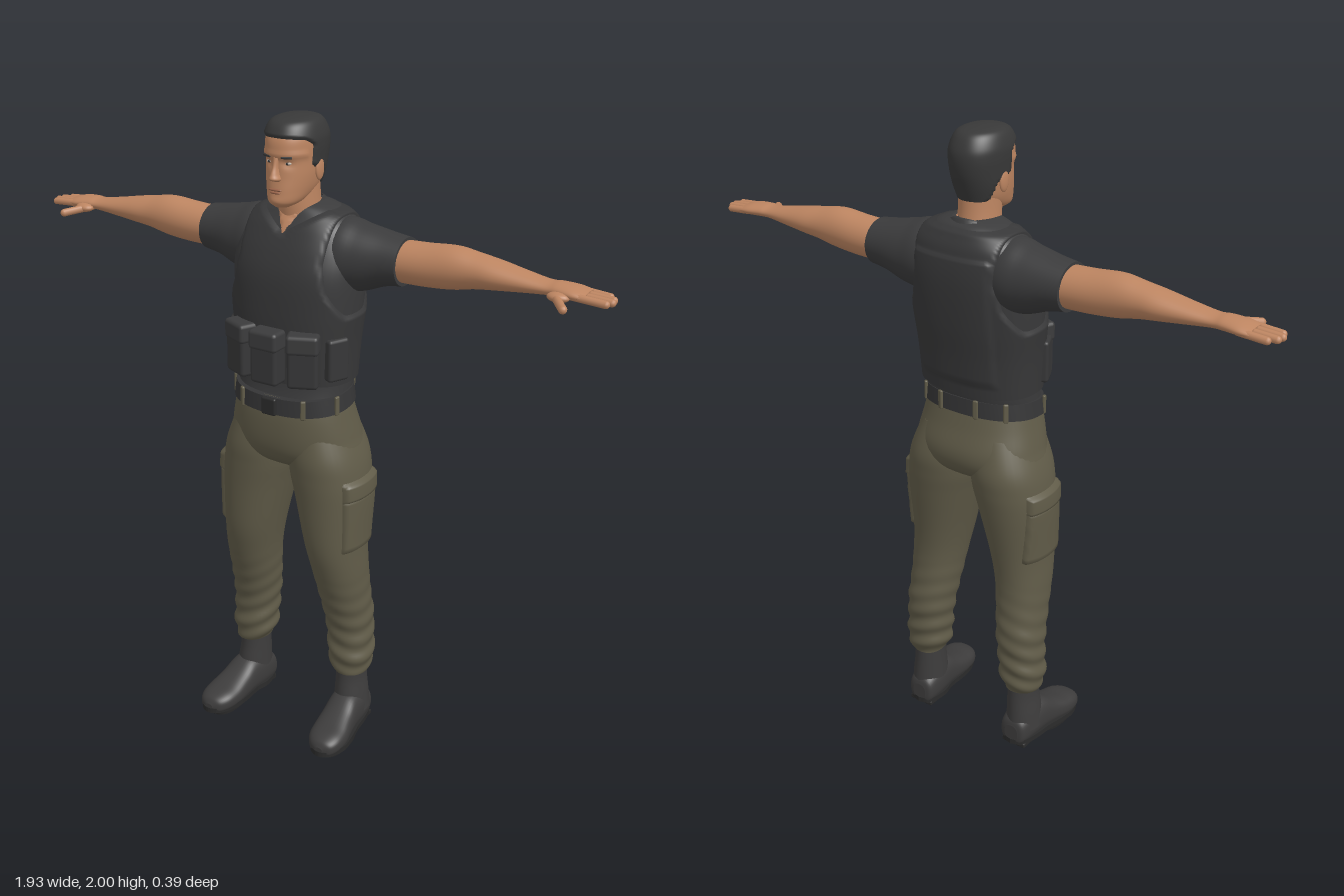
import * as THREE from 'three';
import { mergeVertices } from 'three/addons/utils/BufferGeometryUtils.js';
import { RoundedBoxGeometry } from 'three/addons/geometries/RoundedBoxGeometry.js';

const clamp = THREE.MathUtils.clamp;

// piecewise linear lookup through [key, value] pairs with rising keys
function lin(pts, v) {
  if (v <= pts[0][0]) return pts[0][1];
  for (let i = 1; i < pts.length; i++) {
    const [a, p] = pts[i - 1], [b, q] = pts[i];
    if (v <= b) return p + (q - p) * (v - a) / (b - a);
  }
  return pts[pts.length - 1][1];
}

// smooth skin through cross-sections [t, centreA, centreB, radiusA, radiusB] set along one axis;
// off(x, y, z) swells or shrinks the surface locally
function loft(axis, secs, { n = 2, seg = 40, sub = 6, off = null } = {}) {
  const rows = [];
  for (let i = 0; i < secs.length - 1; i++) {
    const [p0, p1, p2, p3] = [-1, 0, 1, 2].map(k => secs[clamp(i + k, 0, secs.length - 1)]);
    for (let s = 0; s < sub + (i === secs.length - 2 ? 1 : 0); s++) {
      const u = s / sub;
      rows.push(p1.map((v, k) => {
        const c1 = p2[k] - p0[k];
        const c2 = 2 * p0[k] - 5 * v + 4 * p2[k] - p3[k];
        const c3 = 3 * (v - p2[k]) + p3[k] - p0[k];
        return v + 0.5 * u * (c1 + u * (c2 + u * c3));
      }));
    }
  }
  const put = (t, a, b) => axis === 'x' ? [t, a, b] : axis === 'y' ? [a, t, b] : [a, b, t];
  const pos = [], idx = [];
  const flip = (axis === 'y') !== (secs[secs.length - 1][0] < secs[0][0]);
  const tri = (a, b, c) => flip ? idx.push(a, c, b) : idx.push(a, b, c);
  const pw = v => Math.sign(v) * Math.abs(v) ** (2 / n);
  const ring = ([t, ca, cb, ra, rb]) => {
    for (let j = 0; j < seg; j++) {
      const th = j / seg * Math.PI * 2, c = pw(Math.cos(th)), s = pw(Math.sin(th));
      const o = off ? off(...put(t, ca + ra * c, cb + rb * s)) : 0;
      pos.push(...put(t, ca + (ra + o) * c, cb + (rb + o) * s));
    }
  };
  rows.forEach(ring);
  for (let i = 0; i < rows.length - 1; i++) for (let j = 0; j < seg; j++) {
    const a = i * seg + j, b = i * seg + (j + 1) % seg;
    tri(a, b, b + seg); tri(a, b + seg, a + seg);
  }
  // flat end caps
  [rows[0], rows[rows.length - 1]].forEach((r, e) => {
    const base = pos.length / 3;
    ring(r);
    pos.push(...put(r[0], r[1], r[2]));
    for (let j = 0; j < seg; j++) {
      const a = base + j, b = base + (j + 1) % seg;
      e ? tri(a, b, base + seg) : tri(b, a, base + seg);
    }
  });
  const g = new THREE.BufferGeometry();
  g.setAttribute('position', new THREE.Float32BufferAttribute(pos, 3));
  g.setIndex(idx);
  g.computeVertexNormals();
  return g;
}

const box = (w, h, d, x, y, z, ry = 0, r = 0.006) =>
  new RoundedBoxGeometry(w, h, d, 2, Math.min(r, d / 2.1, w / 2.1, h / 2.1)).rotateY(ry).translate(x, y, z);
const blob = (x, y, z, rx, ry, rz) => new THREE.SphereGeometry(1, 20, 14).scale(rx, ry, rz).translate(x, y, z);

function mirrored(g) {
  const m = (g.index ? g.clone() : mergeVertices(g)).scale(-1, 1, 1), ix = m.index.array;
  for (let i = 0; i < ix.length; i += 3) [ix[i], ix[i + 1]] = [ix[i + 1], ix[i]];
  return m;
}

export function createModel() {
  const root = new THREE.Group();
  root.name = 'uniformedMan';
  const mat = (name, color, side = THREE.FrontSide) => Object.assign(new THREE.MeshStandardMaterial({ color, side }), { name });
  const skin = mat('skin', 0xbd8561), lip = mat('lipSkin', 0x98634a), hair = mat('hair', 0x383838);
  const shirt = mat('shirtCloth', 0x3b3b3c, THREE.DoubleSide), vestM = mat('vestCloth', 0x373738), trousers = mat('trouserCloth', 0x605b48);
  const beltM = mat('beltWebbing', 0x353536), boot = mat('bootLeather', 0x3d3c3c), sole = mat('soleRubber', 0x2b2b2b), eye = mat('eyeWhite', 0xb9aca0);
  const add = (name, g, m) => {
    const mesh = new THREE.Mesh(g, m);
    mesh.name = name;
    root.add(mesh);
  };
  const both = (name, g, m) => { add('left' + name, g, m); add('right' + name, mirrored(g), m); };

  // head and neck
  const HEAD = [[1.752, 0, .05, .022, .03], [1.768, 0, .035, .046, .06], [1.80, 0, .003, .061, .093], [1.84, 0, -.007, .069, .098],
    [1.88, 0, -.014, .072, .103], [1.92, 0, -.015, .075, .107], [1.95, 0, -.016, .073, .101], [1.975, 0, -.016, .06, .082],
    [1.988, 0, -.017, .04, .055], [1.993, 0, -.018, .004, .005]];
  const bump = (v, centre, width) => Math.exp(-(((v - centre) / width) ** 2));
  const faceShape = (x, y, z) => z < .03 ? 0 : .004 * bump(y, 1.902, .009)
    - .006 * bump(Math.abs(x), .03, .014) * bump(y, 1.878, .011) + .004 * bump(x, 0, .02) * bump(y, 1.772, .012);
  add('head', loft('y', HEAD, { n: 2.2, seg: 56, off: faceShape }), skin);
  add('neck', loft('y', [[1.65, 0, -.045, .07, .07], [1.72, 0, -.035, .062, .07], [1.77, 0, -.03, .059, .069], [1.83, 0, -.03, .058, .066]]), skin);
  add('nose', loft('y', [[1.828, 0, .088, .011, .006], [1.836, 0, .092, .017, .023], [1.85, 0, .09, .012, .022],
    [1.87, 0, .088, .008, .015], [1.895, 0, .088, .008, .008]], { seg: 20 }), skin);
  add('upperLip', blob(0, 1.805, .094, .022, .004, .006), lip);
  add('lowerLip', blob(0, 1.797, .094, .018, .004, .006), lip);
  both('Ear', blob(.075, 1.853, -.02, .008, .033, .02), skin);
  both('Eye', blob(.03, 1.879, .0735, .011, .0045, .006), eye);
  both('Iris', blob(.03, 1.879, .0768, .0045, .0045, .004), hair);
  both('Eyebrow', box(.032, .007, .008, .032, 1.897, .085, .35, .003), hair);

  // hair is a shell that dives under the skin beyond the hairline
  const hairline = [[-.08, 1.785], [-.055, 1.80], [-.042, 1.85], [-.005, 1.858], [.008, 1.865], [.016, 1.93], [.04, 1.942], [.1, 1.95]];
  add('hair', loft('y', HEAD.slice(2).map(s => s[0] > 1.96 ? [s[0] + .007, ...s.slice(1)] : s),
    { n: 2.2, seg: 72, sub: 10, off: (x, y, z) => clamp((y - lin(hairline, z)) * .8, -.006, .008) }), hair);

  // shirt, with sleeves and the open throat
  const TORSO = [[1.17, 0, -.005, .178, .12], [1.235, 0, -.02, .182, .124], [1.35, 0, -.024, .188, .132], [1.45, 0, -.03, .198, .139],
    [1.55, 0, -.037, .205, .14], [1.62, 0, -.047, .20, .13], [1.68, 0, -.057, .18, .111], [1.715, 0, -.06, .145, .092],
    [1.738, 0, -.06, .1, .078], [1.75, 0, -.055, .06, .06]];
  add('shirtBody', loft('y', TORSO, { n: 2.4, seg: 56 }), shirt);
  add('throat', loft('y', TORSO.slice(5), { n: 2.4, seg: 96, sub: 8,
    off: (x, y, z) => z < 0 ? -.01 : clamp(((y - 1.665) * .55 - Math.abs(x)) * .8, -.01, .005) }), skin);
  both('Sleeve', loft('x', [[.05, 1.6, -.06, .08, .08], [.14, 1.607, -.06, .108, .102], [.21, 1.605, -.063, .098, .095],
    [.28, 1.611, -.067, .079, .083], [.337, 1.612, -.068, .07, .076]]), shirt);

  // folded collar, open at the front
  const cols = 40, cp = [], ci = [];
  for (let i = 0; i <= cols; i++) {
    const t = .22 + (Math.PI * 2 - .44) * i / cols, f = (1 + Math.cos(t)) / 2, tip = f ** 10;
    [[.066, 1.757 - .06 * f, .078], [.078, 1.754 - .062 * f, .088], [.105 - .05 * tip, 1.705 - .025 * f - .02 * tip, .104 + .004 * tip]].forEach(([rx, y, rz]) =>
      cp.push(Math.sin(t) * rx + (Math.sin(t) > 0 ? 1 : -1) * .028 * tip, y, -.037 + Math.cos(t) * rz));
    if (i < cols) for (let k = 0; k < 2; k++) {
      const a = i * 3 + k;
      ci.push(a, a + 1, a + 4, a, a + 4, a + 3);
    }
  }
  const collar = new THREE.BufferGeometry();
  collar.setAttribute('position', new THREE.Float32BufferAttribute(cp, 3));
  collar.setIndex(ci);
  collar.computeVertexNormals();
  add('collar', collar, shirt);

  // vest shell with armholes, neck opening and a raised back panel
  const armhole = [[1.40, .30], [1.45, .19], [1.52, .155], [1.6, .14], [1.73, .142]];
  const vestOff = (x, y, z) => {
    const ax = Math.abs(x), neck = (z > -.03 ? 1.675 + ax * .6 : 1.735) - y;
    const panel = z < -.1 ? clamp(Math.min(.125 - ax, y - 1.28, 1.665 - y), 0, .006) : 0;
    return clamp(Math.min(lin(armhole, y) - ax, neck), -.012, .01) + panel;
  };
  add('vest', loft('y', TORSO.slice(1, 9), { n: 2.4, seg: 96, sub: 10, off: vestOff }), vestM);

  // vest pouches with flaps
  [[0, .138, 0], [.108, .113, .42], [-.108, .113, -.42]].forEach(([x, z, a]) => {
    add('pouch', box(.092, .158, .06, x, 1.32, z, a, .012), vestM);
    add('pouchFlap', box(.097, .06, .066, x, 1.376, z + .002, a, .012), shirt);
  });
  both('SidePouch', box(.07, .13, .035, .178, 1.32, .045, 1.15, .01), vestM);

  // bare arms, hands and fingers
  both('Arm', loft('x', [[.3, 1.612, -.068, .06, .067], [.4, 1.615, -.067, .062, .065], [.49, 1.622, -.066, .062, .061],
    [.56, 1.624, -.067, .05, .057], [.62, 1.623, -.067, .041, .056], [.7, 1.62, -.065, .029, .046], [.77, 1.618, -.063, .02, .037],
    [.805, 1.619, -.063, .02, .041], [.85, 1.617, -.064, .018, .047], [.885, 1.614, -.065, .012, .043]], { seg: 32 }), skin);
  const finger = (ax, ay, az, bx, by, bz, r) => {
    const a = new THREE.Vector3(ax, ay, az), d = new THREE.Vector3(bx, by, bz).sub(a);
    const q = new THREE.Quaternion().setFromUnitVectors(new THREE.Vector3(0, 1, 0), d.clone().normalize());
    const m = a.addScaledVector(d, .5);
    return new THREE.CapsuleGeometry(r, d.length(), 5, 12).applyQuaternion(q).translate(m.x, m.y, m.z);
  };
  [.943, .952, .948, .93].forEach((x, i) => both('Finger', finger(.85, 1.615, -.03 - i * .0225, x, 1.609, -.032 - i * .0215, .011), skin));
  both('Thumb', finger(.795, 1.612, -.035, .853, 1.598, .035, .012), skin);
  both('ThumbBase', blob(.815, 1.609, -.022, .032, .014, .022), skin);

  // trousers: hips, then legs with wrinkles toward the cuffs
  const HIPS = [[1.19, 0, -.008, .176, .128], [1.12, 0, -.012, .192, .141], [1.05, 0, -.022, .208, .15], [1, 0, -.025, .215, .142],
    [.965, 0, -.025, .17, .118], [.935, 0, -.025, .07, .07]];
  add('trouserHips', loft('y', HIPS, { n: 2.3, seg: 56 }), trousers);
  const LEG = [[1.1, .095, -.02, .088, .12], [1, .112, -.025, .112, .14], [.93, .122, -.025, .118, .138], [.85, .134, -.022, .111, .13],
    [.7, .15, -.015, .092, .114], [.6, .162, -.022, .084, .1], [.5, .17, -.04, .079, .089], [.42, .177, -.056, .076, .083],
    [.35, .182, -.061, .073, .076], [.29, .186, -.06, .072, .076], [.25, .188, -.059, .069, .073], [.212, .19, -.058, .054, .064]];
  const folds = (x, y, z) => .004 * Math.sin(y * 95 + x * 30 + z * 22) * clamp((.6 - y) * 3.5, 0, 1);
  both('TrouserLeg', loft('y', LEG, { n: 2.15, off: folds, sub: 8 }), trousers);
  // cargo pocket and flap swelling out of the outer thigh
  const patch = (lo, hi, h) => (x, y, z) => x < .14 ? -.012 : clamp(Math.min(.085 - Math.abs(z + .02), y - lo, hi - y) * 1.5, -.012, h);
  both('CargoPocket', loft('y', LEG.slice(1, 6), { n: 2.15, seg: 80, sub: 10, off: patch(.69, .88, .01) }), trousers);
  both('PocketFlap', loft('y', LEG.slice(1, 5), { n: 2.15, seg: 80, sub: 14, off: patch(.862, .93, .015) }), trousers);

  // belt tilted up at the back, with loops and buckle
  const tilt = g => {
    const p = g.attributes.position;
    for (let i = 0; i < p.count; i++) p.setY(i, p.getY(i) - .11 * p.getZ(i));
    return g;
  };
  add('belt', tilt(loft('y', [[1.152, 0, -.008, .192, .14], [1.203, 0, -.008, .185, .137]], { n: 2.3, seg: 64, sub: 2 })), beltM);
  [.55, 1.25, 2.3, 2.85].forEach(t => both('BeltLoop', tilt(box(.016, .06, .01,
    .19 * Math.sin(t) ** .87, 1.177, -.008 + .141 * Math.sign(Math.cos(t)) * Math.abs(Math.cos(t)) ** .87, t, .004)), trousers));
  add('buckle', tilt(box(.05, .055, .014, 0, 1.177, .133)), sole);

  // boots: shaft, foot, sole and heel
  both('BootShaft', loft('y', [[.06, .195, -.055, .056, .07], [.12, .193, -.056, .052, .066], [.18, .19, -.058, .047, .061], [.235, .19, -.058, .046, .06]]), boot);
  both('BootFoot', loft('z', [[-.127, .19, .05, .025, .03], [-.115, .19, .055, .045, .05], [-.06, .193, .068, .055, .065],
    [0, .198, .068, .055, .064], [.05, .203, .055, .058, .05], [.1, .209, .044, .062, .04], [.145, .213, .039, .057, .034],
    [.175, .216, .034, .04, .026], [.188, .217, .03, .014, .012]], { n: 2.5 }), boot);
  const outline = new THREE.Shape(new THREE.SplineCurve([[.19, .132], [.15, .115], [.138, .05], [.147, 0], [.146, -.06], [.152, -.12], [.18, -.175],
    [.217, -.193], [.252, -.175], [.274, -.12], [.268, -.06], [.255, 0], [.247, .06], [.23, .115], [.19, .132]]
    .map(p => new THREE.Vector2(...p))).getPoints(60));
  both('Sole', new THREE.ExtrudeGeometry(outline, { depth: .018, bevelEnabled: false }).rotateX(-Math.PI / 2).translate(0, .012, 0), sole);
  both('HeelTread', box(.088, .016, .075, .192, .008, -.08, 0, .004), sole);
  both('FrontTread', loft('y', [[0, .211, .085, .054, .09], [.016, .211, .085, .056, .095]], { n: 2.6, sub: 1 }), sole);
  return root;
}
